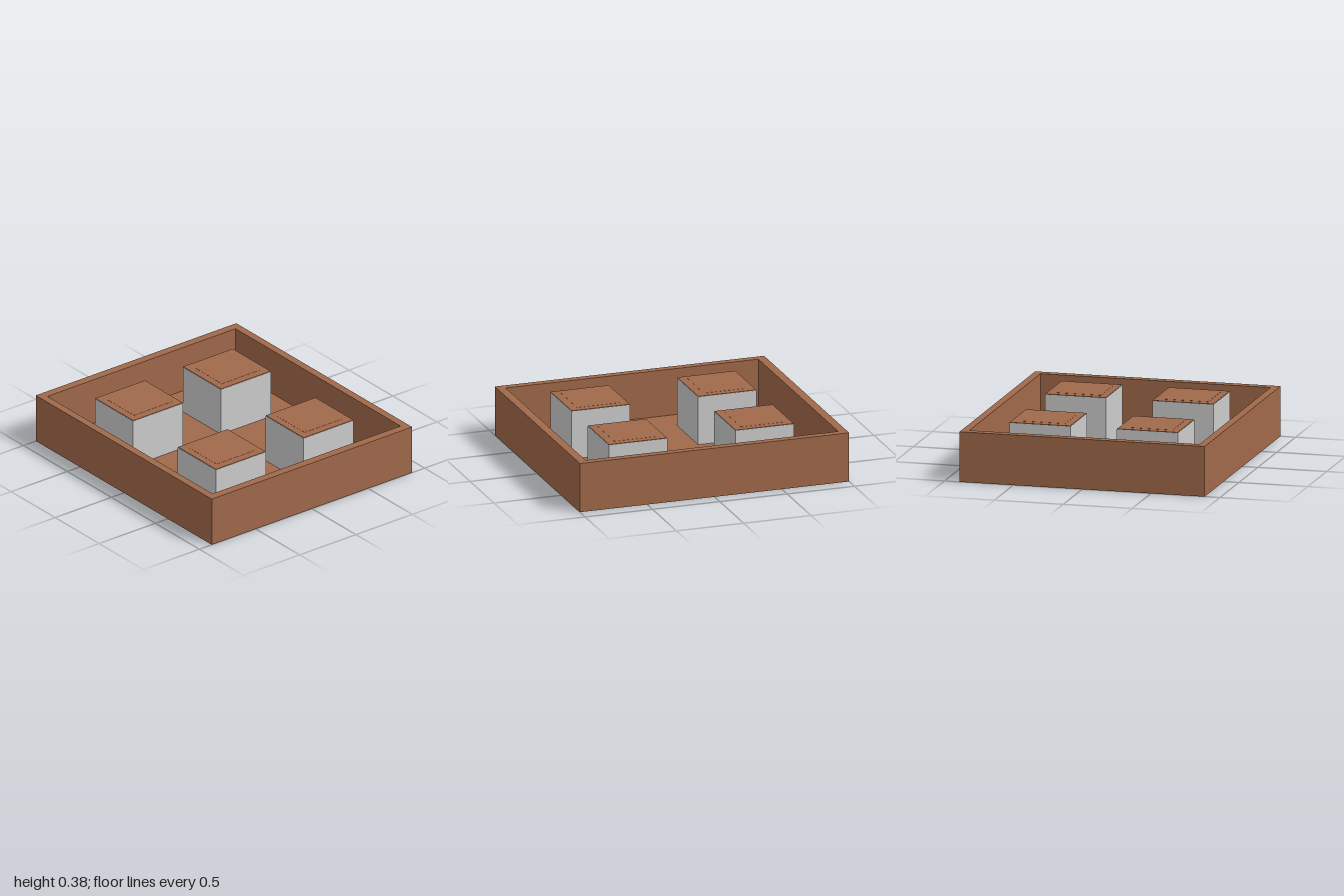
import * as THREE from 'three';

export function createModel() {
  const model = new THREE.Group();
  const brown = new THREE.MeshStandardMaterial({ color: 0xa0694a });
  brown.name = 'warm brown';
  const grey = new THREE.MeshStandardMaterial({ color: 0xcccccc });
  grey.name = 'light grey';

  // Box given by its centre, base height and size
  function addBox(parent, name, material, [w, h, d], [x, y, z]) {
    const mesh = new THREE.Mesh(new THREE.BoxGeometry(w, h, d), material);
    mesh.name = name;
    mesh.position.set(x, y + h / 2, z);
    parent.add(mesh);
  }

  // Rectangle outline, used for the rim and its opening
  function rectangle(target, halfX, halfY) {
    target.moveTo(-halfX, -halfY);
    target.lineTo(halfX, -halfY);
    target.lineTo(halfX, halfY);
    target.lineTo(-halfX, halfY);
    target.closePath();
    return target;
  }

  // Surrounding wall: a rectangular frame extruded upwards
  const outline = rectangle(new THREE.Shape(), 1, 0.89);
  outline.holes.push(rectangle(new THREE.Path(), 0.938, 0.835));
  const wallGeometry = new THREE.ExtrudeGeometry(outline, { depth: 0.36, bevelEnabled: false });
  wallGeometry.rotateX(-Math.PI / 2);
  const wall = new THREE.Mesh(wallGeometry, brown);
  wall.name = 'trayWall';
  model.add(wall);

  // Floor, set just above the bottom edge of the wall
  addBox(model, 'trayFloor', brown, [1.876, 0.015, 1.67], [0, 0.005, 0]);

  // Four square posts, each with a brown top and a thin inset panel
  for (const x of [-0.47, 0.47]) {
    for (const z of [-0.393, 0.387]) {
      const post = new THREE.Group();
      post.name = 'post';
      post.position.set(x, 0, z);
      addBox(post, 'postBody', grey, [0.434, 0.352, 0.444], [0, 0.02, 0]);
      addBox(post, 'postTop', brown, [0.43, 0.004, 0.44], [0, 0.372, 0]);
      addBox(post, 'postPanel', brown, [0.315, 0.001, 0.337], [0, 0.376, 0]);
      model.add(post);
    }
  }

  return model;
}
